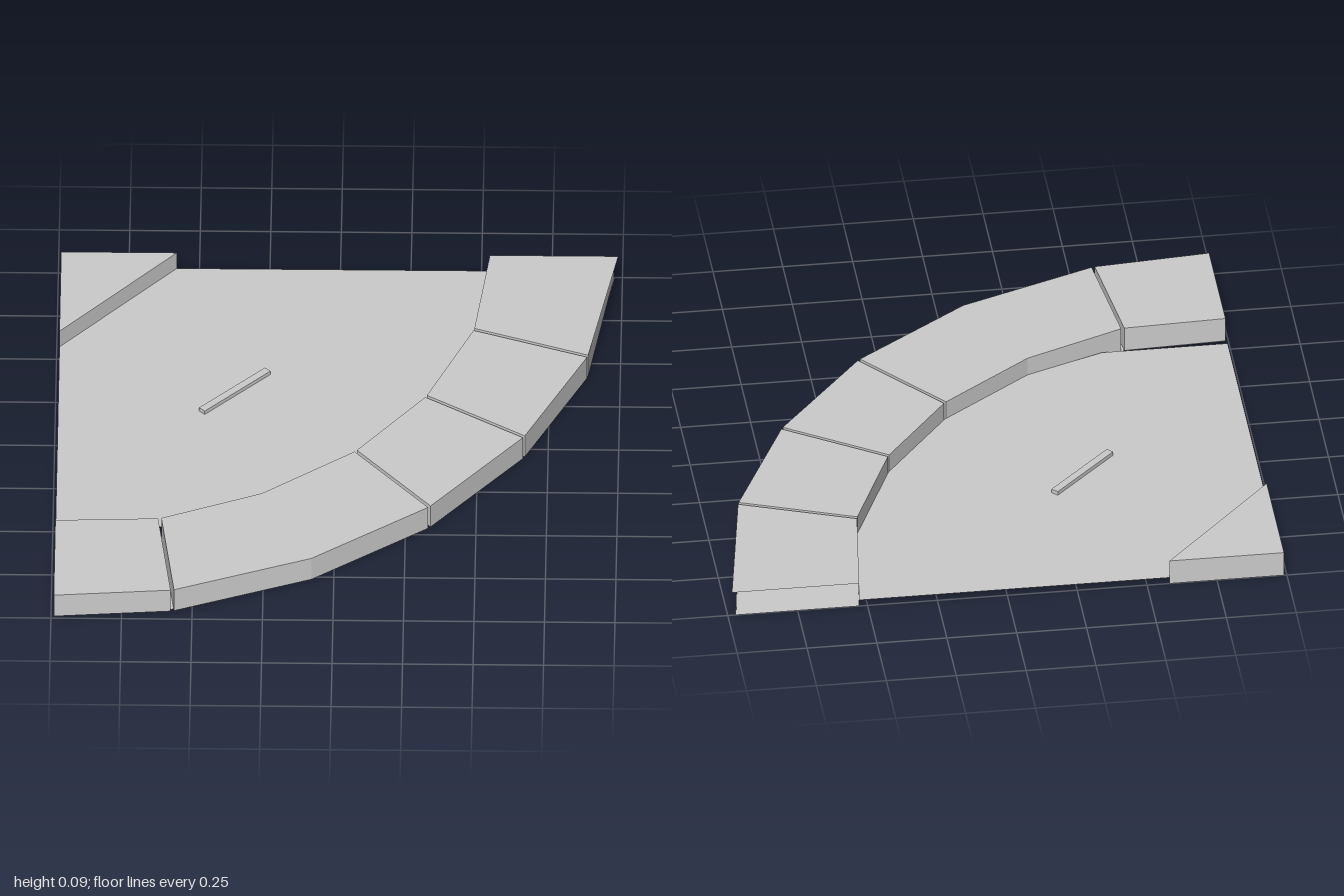
import * as THREE from 'three';

const grey = new THREE.MeshStandardMaterial({ color: 0xcccccc, flatShading: true, side: THREE.DoubleSide });
const H = 0.095, ROAD = 0.025, GAP = 0.006;

// kerb outline as [x, z] points, from the back end round to the side end
const outer = [[0.985, -1], [0.885, -0.42], [0.665, 0.05], [0.335, 0.46], [-0.08, 0.765], [-0.57, 0.955], [-0.99, 0.99]];
const inner = [[0.53, -1], [0.48, -0.57], [0.315, -0.18], [0.07, 0.14], [-0.26, 0.39], [-0.62, 0.54], [-0.99, 0.555]];
const cracked = [false, true, true, true, false, true, false];

function outline(points) {
  return new THREE.Shape(points.map(([x, z]) => new THREE.Vector2(x, -z)));
}

function add(group, name, geometry) {
  const mesh = new THREE.Mesh(geometry, grey);
  mesh.name = name;
  group.add(mesh);
  return mesh;
}

// upright block over a ground outline
function block(points, y0, y1) {
  return new THREE.ExtrudeGeometry(outline(points), { depth: y1 - y0, bevelEnabled: false })
    .rotateX(-Math.PI / 2).translate(0, y0, 0);
}

// flat sheet over a ground outline
function sheet(points, y) {
  return new THREE.ShapeGeometry(outline(points)).rotateX(-Math.PI / 2).translate(0, y, 0);
}

// upright quad between two ground points
function wall([ax, az], [bx, bz], y0, y1) {
  const g = new THREE.BufferGeometry();
  g.setAttribute('position', new THREE.Float32BufferAttribute(
    [ax, y0, az, bx, y0, bz, bx, y1, bz, ax, y1, az], 3));
  g.setIndex([0, 1, 2, 0, 2, 3]);
  g.computeVertexNormals();
  return g;
}

// point moved a short distance from a towards b
function nudge(a, b, d) {
  const t = d / Math.hypot(b[0] - a[0], b[1] - a[1]);
  return [a[0] + (b[0] - a[0]) * t, a[1] + (b[1] - a[1]) * t];
}

export function createModel() {
  const model = new THREE.Group();
  model.name = 'roadCorner';

  // road surface with its side skirt
  add(model, 'roadSurface', sheet([[-0.99, -1], ...inner.slice(0, 5), [-0.54, 0.5], [-0.99, 0.5]], ROAD));
  add(model, 'roadSkirt', wall([-0.99, -0.54], [-0.99, 0.5], 0, ROAD));

  // kerb segments with narrow joints
  const kerb = new THREE.Group();
  kerb.name = 'kerb';
  model.add(kerb);
  for (let i = 0; i < 6; i++) {
    const g0 = cracked[i] ? GAP : 0, g1 = cracked[i + 1] ? GAP : 0;
    const o0 = nudge(outer[i], outer[i + 1], g0), o1 = nudge(outer[i + 1], outer[i], g1);
    const i0 = nudge(inner[i], inner[i + 1], g0), i1 = nudge(inner[i + 1], inner[i], g1);
    if (i > 0) {
      add(kerb, 'kerbSegment', block([o0, o1, i1, i0], 0.001, H));
      continue;
    }
    // first segment is hollow and open at its back end
    add(kerb, 'kerbOpenTop', sheet([o0, o1, i1, i0], H));
    add(kerb, 'kerbOpenOuterWall', wall([0.97, -1], o1, 0, H));
    add(kerb, 'kerbOpenInnerWall', wall(i0, i1, 0, H));
    add(kerb, 'kerbOpenEnd', wall(o1, i1, 0, H));
  }
  const base = outer.map((p, i) => nudge(p, inner[i], 0.012));
  add(kerb, 'kerbBase', sheet([...base, ...inner.slice().reverse()], 0));

  // raised corner island
  add(model, 'cornerIsland', block([[-0.99, -1], [-0.58, -1], [-0.99, -0.54]], 0, H));

  // lane marking bar
  add(model, 'laneMarking', block([[-0.49, -0.175], [-0.26, -0.41], [-0.24, -0.39], [-0.47, -0.155]], ROAD, ROAD + 0.015));

  return model;
}
